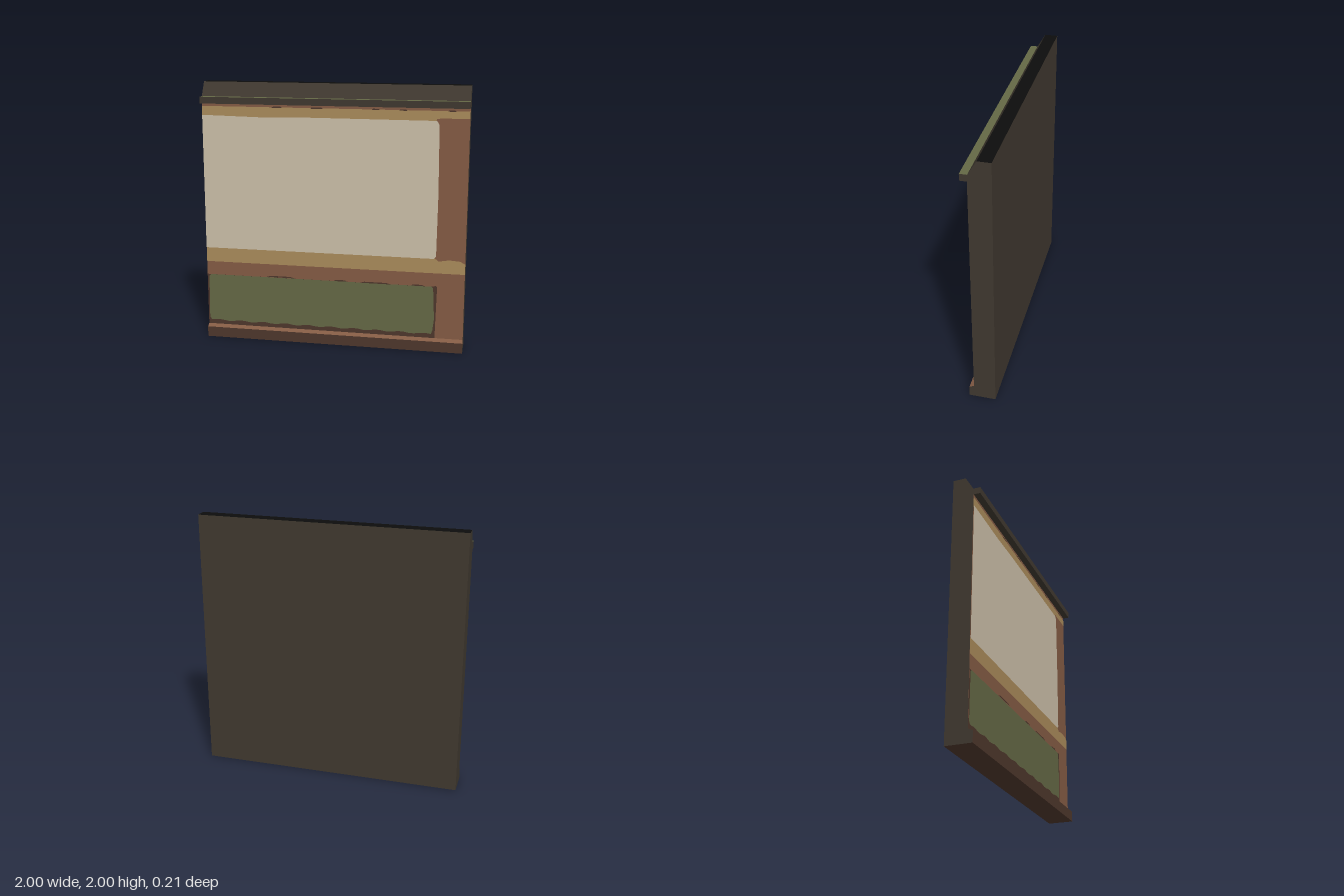
import * as THREE from 'three';

const paint = (name, color) => new THREE.MeshStandardMaterial({ name, color });

export function createModel() {
  const group = new THREE.Group();
  group.name = 'wallPanel';

  const charcoal = paint('charcoal', 0x3f382f);
  const black = paint('black', 0x0d0d0c);
  const darkBrown = paint('dark brown', 0x4d362b);
  const brown = paint('brown', 0x835b44);
  const ochre = paint('ochre', 0xa98a5a);
  const cream = paint('cream', 0xcabea7);
  const green = paint('green', 0x646845);

  const add = (name, geometry, material) => {
    const mesh = new THREE.Mesh(geometry, material);
    mesh.name = name;
    group.add(mesh);
    return mesh;
  };

  // Cross-section as z, y, then the name and colour of the face to the next point
  const wallZ = 0.055;
  const profile = [
    [-0.105, 0, 'underside', darkBrown],
    [0.09, 0, 'baseboardFront', darkBrown],
    [0.09, 0.08, 'baseboardBevel', brown],
    [wallZ, 0.097, 'wallFront', brown],
    [wallZ, 1.845, 'railUnderside', charcoal],
    [0.105, 1.845, 'railFront', charcoal],
    [0.105, 1.895, 'railTop', green],
    [0.052, 1.895, 'capSlope', charcoal],
    [-0.01, 2, 'capTop', black],
    [-0.105, 2, 'back', charcoal],
  ];
  profile.forEach(([z0, y0, name, material], i) => {
    const [z1, y1] = profile[(i + 1) % profile.length];
    const geometry = new THREE.BufferGeometry();
    geometry.setAttribute('position', new THREE.Float32BufferAttribute(
      [-1, y0, z0, 1, y0, z0, 1, y1, z1, -1, y1, z1], 3));
    geometry.setIndex([0, 1, 2, 0, 2, 3]);
    geometry.computeVertexNormals();
    add(name, geometry, material);
  });

  // End faces, the second one mirrored
  const endShape = new THREE.Shape(profile.map(([z, y]) => new THREE.Vector2(z, y)));
  const end = new THREE.ShapeGeometry(endShape).rotateY(-Math.PI / 2).translate(-1, 0, 0);
  add('rightEnd', end, charcoal);
  add('leftEnd', end, charcoal).scale.x = -1;

  // Painted fields, one thin layer above another
  const field = (name, points, material, layer) => {
    const shape = new THREE.Shape(points.map(([x, y]) => new THREE.Vector2(x, y)));
    add(name, new THREE.ShapeGeometry(shape).translate(0, 0, wallZ + layer * 0.0015), material);
  };

  field('upperBand', [[-1, 1.74], [0.77, 1.74], [0.785, 1.768], [1, 1.768], [1, 1.822], [-1, 1.822]], ochre, 1);
  field('lowerBand', [[-1, 0.61], [1, 0.61], [1, 0.69], [0.96, 0.71], [0.88, 0.716],
    [0.8, 0.702], [0.77, 0.73], [-1, 0.73]], ochre, 1);
  field('stileShadow', [[0.76, 1.755], [0.77, 1.74], [0.787, 1.72], [0.788, 1.765], [0.765, 1.765]], brown, 2);
  field('creamField', [[-1, 0.722], [0.765, 0.722], [0.783, 0.74], [0.788, 1.2], [0.783, 1.72],
    [0.765, 1.75], [-0.3, 1.752], [-0.55, 1.746], [-1, 1.755]], cream, 3);
  field('lowerFrame', [[-1, 0.097], [0.787, 0.097], [0.797, 0.5], [0.785, 0.512], [0.765, 0.505],
    [-1, 0.505]], darkBrown, 1);

  // Green field with a worn lower edge
  const greenPoints = [[0.77, 0.16], [0.78, 0.25], [0.768, 0.49], [0.755, 0.505],
    [-0.97, 0.505], [-0.985, 0.49], [-0.99, 0.15], [-0.975, 0.132]];
  for (let i = 0; i <= 40; i++) {
    greenPoints.push([-0.96 + i * 0.043, 0.13 + 0.006 * Math.sin(i * 1.5)]);
  }
  field('greenField', greenPoints, green, 2);

  // Dark worn flecks above the green field and below the rail
  const flecks = [[-0.41, 0.512, 0.11], [0.06, 0.51, 0.05], [0.33, 0.508, 0.12], [0.65, 0.509, 0.05],
    [-0.42, 1.822, 0.04], [-0.12, 1.822, 0.05], [0.32, 1.822, 0.03], [0.52, 1.822, 0.03], [0.87, 1.822, 0.03]];
  for (const [x, y, half] of flecks) {
    field('wornFleck', [[x - half, y - 0.004], [x + half, y - 0.004],
      [x + half * 0.7, y + 0.006], [x - half * 0.7, y + 0.006]], darkBrown, 3);
  }

  return group;
}
